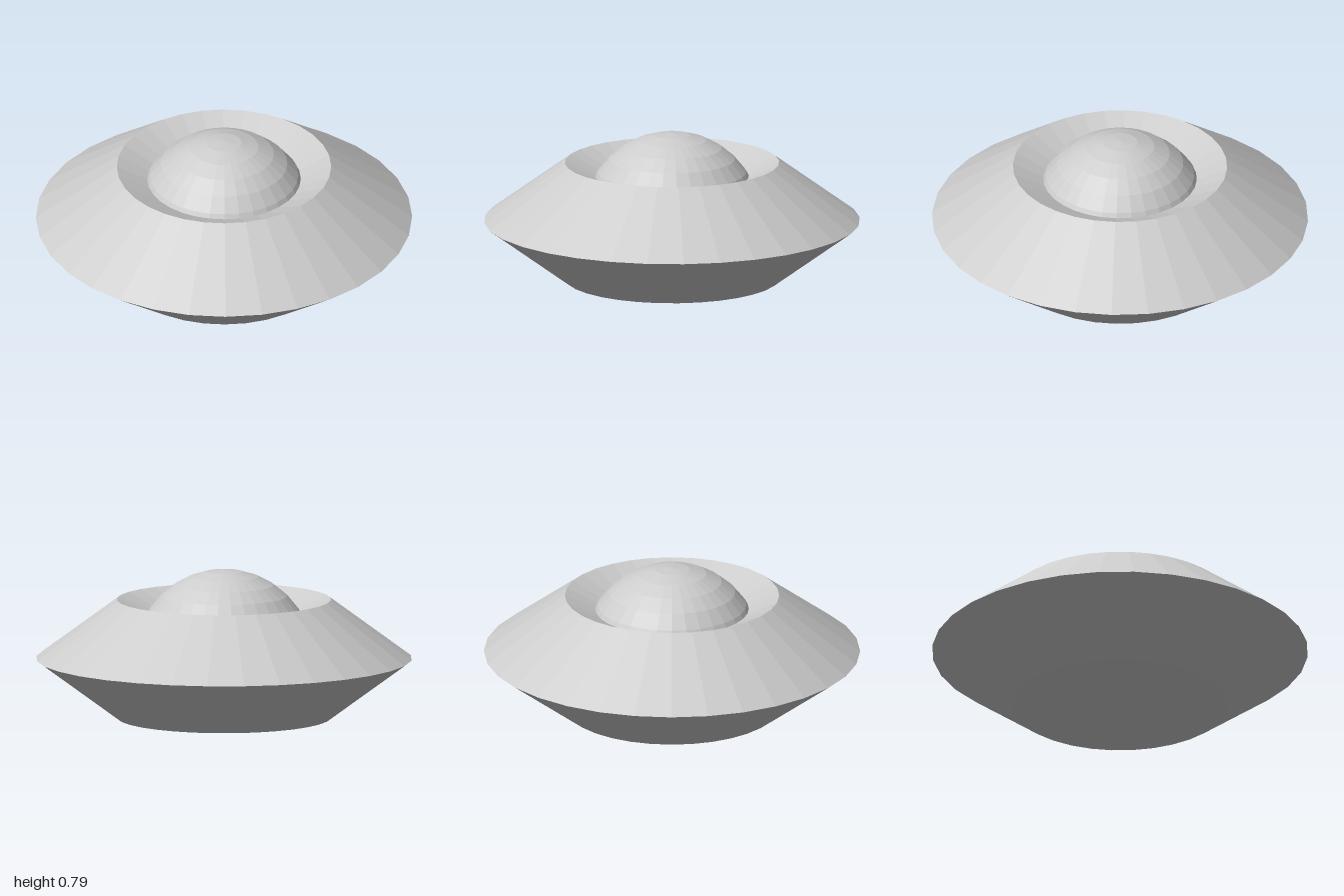
import * as THREE from 'three';

export function createModel() {
  const group = new THREE.Group();
  const grey = new THREE.MeshStandardMaterial({ color: 0xcccccc, flatShading: true });
  grey.name = 'light grey';
  const sides = 32;
  const midHeight = 0.317;

  // Double-cone hull, dished inward on the top and the underside
  const profile = [
    [0, 0.268],
    [0.57, 0],
    [1, midHeight],
    [0.57, 0.634],
    [0, 0.366],
  ].map(([r, y]) => new THREE.Vector2(r, y));
  const hull = new THREE.Mesh(new THREE.LatheGeometry(profile, sides), grey);
  hull.name = 'hull';

  // Half-sphere cockpit dome sitting in the upper dish
  const dome = new THREE.Mesh(
    new THREE.SphereGeometry(0.476, sides, 8, 0, Math.PI * 2, 0, Math.PI / 2),
    grey
  );
  dome.position.y = midHeight;
  dome.name = 'dome';

  group.add(hull, dome);
  group.name = 'flyingSaucer';
  return group;
}
